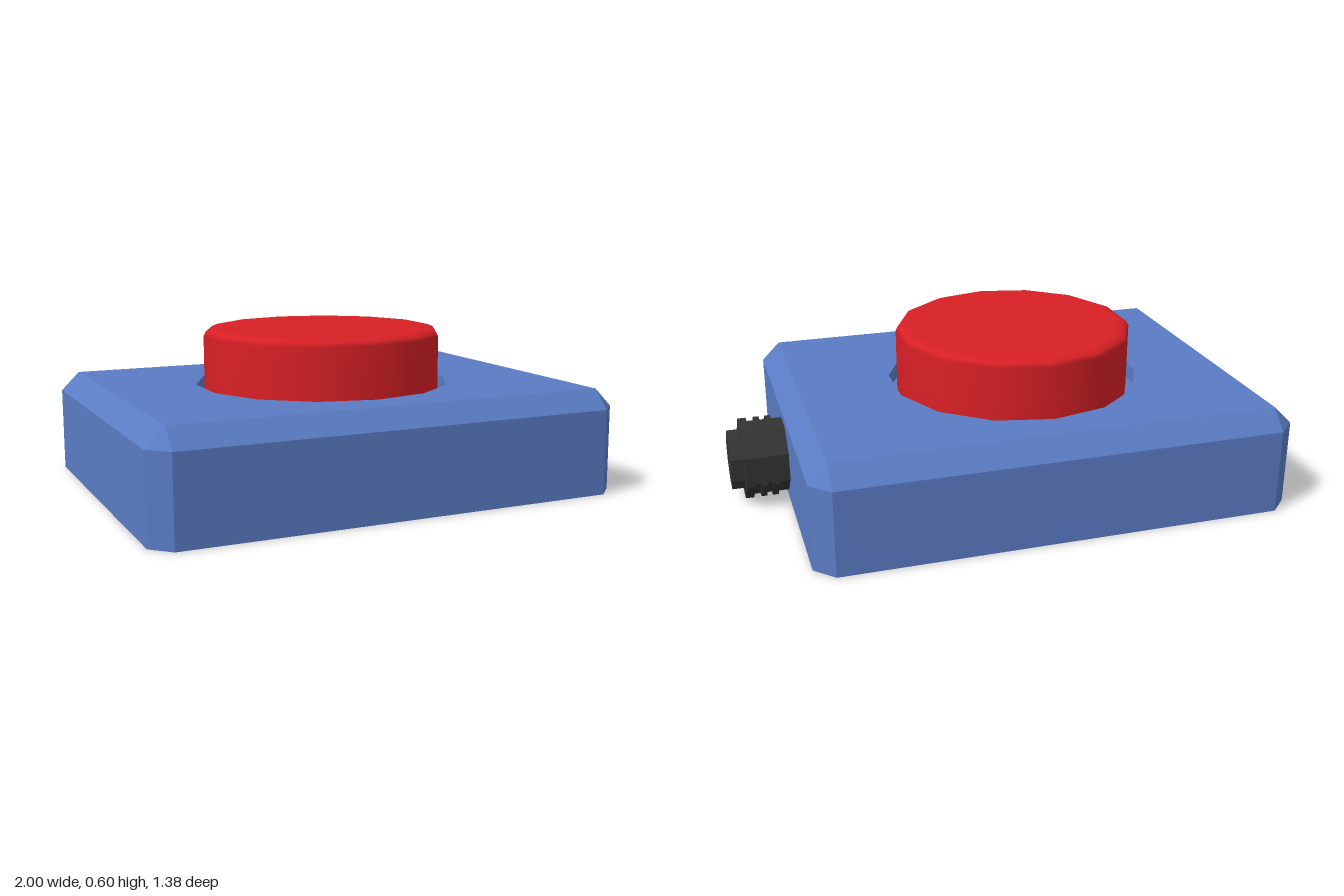
import * as THREE from 'three';

const BODY = { cx: -0.105, hx: 0.895, hz: 0.69, h: 0.39, bevel: 0.07 };
const BUTTON_X = -0.12, SIDES = 14, RECESS_R = 0.487, RECESS_Y = 0.33;

const vec = ([x, y]) => new THREE.Vector2(x, y);
const material = (color, extra = {}) => new THREE.MeshStandardMaterial({ color, ...extra });

function part(name, geometry, mat, parent) {
  const mesh = new THREE.Mesh(geometry, mat);
  mesh.name = name;
  parent.add(mesh);
  return mesh;
}

// Corner pairs of a chamfered rectangle, anticlockwise seen from above (y = -z)
function outline(hx, hz, c) {
  return [
    [hx, -hz + c], [hx, hz - c], [hx - c, hz], [-hx + c, hz],
    [-hx, hz - c], [-hx, -hz + c], [-hx + c, -hz], [hx - c, -hz],
  ];
}

// Upright walls and the sloped top bevel
function wallGeometry() {
  const { hx, hz, h, bevel } = BODY;
  const low = outline(hx, hz, bevel);
  const high = outline(hx - bevel, hz - bevel, 0);
  const at = ([x, y], height) => [x, height, -y];
  const pos = [];
  for (let i = 0; i < 8; i++) {
    const j = (i + 1) % 8;
    const a0 = at(low[i], 0), b0 = at(low[j], 0);
    const a1 = at(low[i], h - bevel), b1 = at(low[j], h - bevel);
    const a2 = at(high[i], h), b2 = at(high[j], h);
    pos.push(...a0, ...b0, ...b1, ...a0, ...b1, ...a1);
    pos.push(...a1, ...b1, ...b2);
    // At the corners the bevel narrows to a single triangle
    if (i % 2 === 0) pos.push(...a1, ...b2, ...a2);
  }
  const g = new THREE.BufferGeometry();
  g.setAttribute('position', new THREE.Float32BufferAttribute(pos, 3));
  g.computeVertexNormals();
  return g;
}

// Top plate with a polygonal opening for the button
function topGeometry() {
  const { cx, hx, hz, h, bevel } = BODY;
  const x = hx - bevel, z = hz - bevel;
  const shape = new THREE.Shape([[-x, -z], [x, -z], [x, z], [-x, z]].map(vec));
  const hole = [];
  for (let i = 0; i < SIDES; i++) {
    const a = -i / SIDES * Math.PI * 2;
    hole.push(vec([BUTTON_X - cx + RECESS_R * Math.sin(a), RECESS_R * Math.cos(a)]));
  }
  shape.holes.push(new THREE.Path(hole));
  return new THREE.ShapeGeometry(shape).rotateX(-Math.PI / 2).translate(0, h, 0);
}

export function createModel() {
  const model = new THREE.Group();
  model.name = 'pushButtonBox';
  const blue = material(0x5a7cc4, { flatShading: true, side: THREE.DoubleSide });
  const red = material(0xd82025);
  const black = material(0x333333, { flatShading: true });

  // Housing
  const housing = new THREE.Group();
  housing.name = 'housing';
  housing.position.x = BODY.cx;
  model.add(housing);
  part('housingWalls', wallGeometry(), blue, housing);
  part('housingTop', topGeometry(), blue, housing);
  const base = new THREE.Shape(outline(BODY.hx, BODY.hz, BODY.bevel).map(vec));
  part('housingBase', new THREE.ShapeGeometry(base).rotateX(Math.PI / 2), blue, housing);

  // Sunken well around the button
  const well = [[RECESS_R, BODY.h], [RECESS_R, RECESS_Y], [0.4, RECESS_Y]].map(vec);
  part('buttonWell', new THREE.LatheGeometry(well, SIDES), blue, model).position.x = BUTTON_X;

  // Button with a softened rim
  const cap = [
    [0.455, RECESS_Y], [0.455, 0.575], [0.447, 0.591], [0.425, 0.6], [0.4, 0.6], [0, 0.6],
  ].map(vec);
  part('button', new THREE.LatheGeometry(cap, SIDES), red, model).position.x = BUTTON_X;

  // Ribbed eight-sided cable gland; radii are measured to the flats
  const core = 0.128, rib = 0.14, nose = 0.103;
  const profile = [[core, 0.77]];
  for (const [from, to] of [[0.831, 0.853], [0.874, 0.896], [0.922, 0.954]]) {
    profile.push([core, from], [rib, from], [rib, to], [core, to]);
  }
  profile.push([nose, 0.954], [nose, 1], [0, 1]);
  const toFlat = Math.cos(Math.PI / 8);
  const gland = new THREE.LatheGeometry(
    profile.map(([r, d]) => vec([r / toFlat, d])), 8, Math.PI / 8);
  gland.rotateZ(-Math.PI / 2);
  part('cableGland', gland, black, model).position.y = 0.16;

  return model;
}
